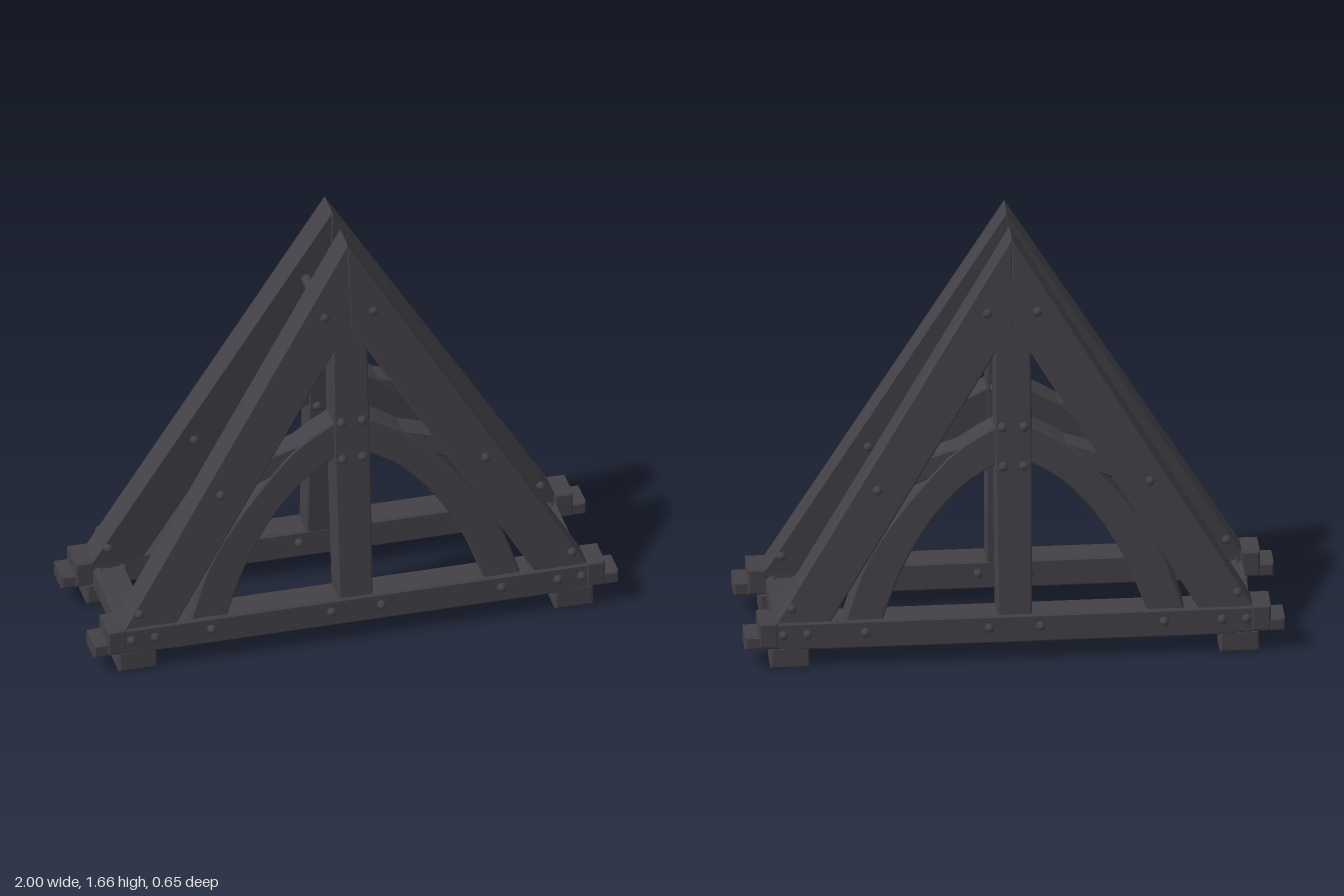
import * as THREE from 'three';
import { toCreasedNormals } from 'three/addons/utils/BufferGeometryUtils.js';

const wood = new THREE.MeshStandardMaterial({ color: 0x434147 });
const LEAN = 0.0815;
const leanZ = (y) => 0.234 - LEAN * (y - 0.18);

function mesh(name, geometry) {
  const m = new THREE.Mesh(geometry, wood);
  m.name = name;
  return m;
}

// Bevelled timber cut from an outline in the xy plane, centred on z = 0
function timber(points, depth, bevel = 0.007) {
  const shape = new THREE.Shape(points.map(([x, y]) => new THREE.Vector2(x, y)));
  const g = new THREE.ExtrudeGeometry(shape, {
    depth: depth - 2 * bevel, bevelEnabled: true, bevelSegments: 1,
    bevelThickness: bevel, bevelSize: bevel, bevelOffset: -bevel,
  });
  return g.translate(0, 0, bevel - depth / 2);
}

// Shear a timber so that it leans inwards with height
function leaning(g) {
  const p = g.attributes.position;
  for (let i = 0; i < p.count; i++) p.setZ(i, p.getZ(i) + leanZ(p.getY(i)));
  g.computeVertexNormals();
  return toCreasedNormals(g, 0.5);
}

const rect = (x0, x1, y0, y1) => [[x0, y0], [x1, y0], [x1, y1], [x0, y1]];

function smooth(points, n) {
  const curve = new THREE.SplineCurve(points.map(([x, y]) => new THREE.Vector2(x, y)));
  return curve.getPoints(n).map((v) => [v.x, v.y]);
}

// Round-headed peg lying along z
function peg(x, y, z, length, r = 0.018) {
  const m = mesh('peg', new THREE.CapsuleGeometry(r, length - 2 * r, 3, 8).rotateX(Math.PI / 2));
  m.position.set(x, y, z);
  return m;
}

function createFrame() {
  const frame = new THREE.Group();
  frame.name = 'aFrame';

  // Sill with stepped ends
  const sill = mesh('sill', timber([
    [-1, 0.08], [-0.9, 0.08], [-0.7, 0.072], [0.7, 0.072], [0.9, 0.08], [1, 0.08], [1, 0.133],
    [0.945, 0.133], [0.945, 0.183], [-0.945, 0.183], [-0.945, 0.133], [-1, 0.133],
  ], 0.122));
  sill.position.z = 0.238;
  frame.add(sill);

  // King post with a pointed head under the rafters
  frame.add(mesh('kingPost', leaning(timber(
    [[-0.065, 0.16], [0.065, 0.16], [0.07, 0.9], [0.065, 1.4], [0, 1.51], [-0.065, 1.4], [-0.07, 0.9]], 0.112))));

  const inner = smooth([[0.03, 0.785], [0.1, 0.75], [0.2, 0.68], [0.32, 0.54], [0.42, 0.36], [0.495, 0.16]], 16);
  const outer = smooth([[0.635, 0.16], [0.56, 0.38], [0.45, 0.56], [0.32, 0.72], [0.2, 0.84], [0.03, 0.94]], 16);

  for (const s of [1, -1]) {
    const side = s > 0 ? 'left' : 'right';
    const flip = (pts) => pts.map(([x, y]) => [s * x, y]);
    const add = (name, pts, depth) => frame.add(mesh(side + name, leaning(timber(flip(pts), depth))));

    add('Rafter', [[0, 1.66], [0, 1.317], [0.69, 0.165], [0.894, 0.165]], 0.116);
    add('ArchBrace', [...inner, ...outer], 0.104);
    add('Strut', [[0.12, 0.87], [0.21, 0.84], [0.44, 0.77], [0.47, 0.67], [0.4, 0.685], [0.22, 0.76]], 0.092);

    // End block over the sill tip
    const block = mesh(side + 'EndBlock', timber(rect(0.877, 0.948, 0.085, 0.187), 0.134));
    block.position.set(s > 0 ? 0 : -1.825, 0, 0.236);
    frame.add(block);

    // Foot under the sill
    const foot = mesh(side + 'Foot', timber(rect(-0.0725, 0.0725, 0, 0.085), 0.122));
    foot.position.set(s * 0.832, 0, 0.234);
    frame.add(foot);

    // Pegs through the sill
    for (const x of [0.095, 0.553, 0.768, 0.858]) frame.add(peg(s * x, 0.138, 0.238, 0.17));

    // Pegs through the leaning timbers
    for (const [x, y] of [[0.825, 0.24], [0.505, 0.69], [0.04, 0.92]]) frame.add(peg(s * x, y, leanZ(y), 0.16));
    frame.add(peg(s * 0.038, 0.765, leanZ(0.765), 0.155));
  }
  return frame;
}

export function createModel() {
  const model = new THREE.Group();
  model.name = 'timberStand';

  // Two frames, back to back
  const front = createFrame();
  front.name = 'frontFrame';
  const back = createFrame();
  back.name = 'backFrame';
  back.rotation.y = Math.PI;
  model.add(front, back);

  // Cross beams between the sills and rods near the top
  for (const s of [1, -1]) {
    const beam = mesh('crossBeam', timber(rect(-0.059, 0.059, 0.082, 0.147), 0.42));
    beam.position.x = s * 0.824;
    const rod = peg(s * 0.093, 1.368, 0, 0.42, 0.02);
    rod.name = 'tieRod';
    model.add(beam, rod);
  }
  return model;
}
